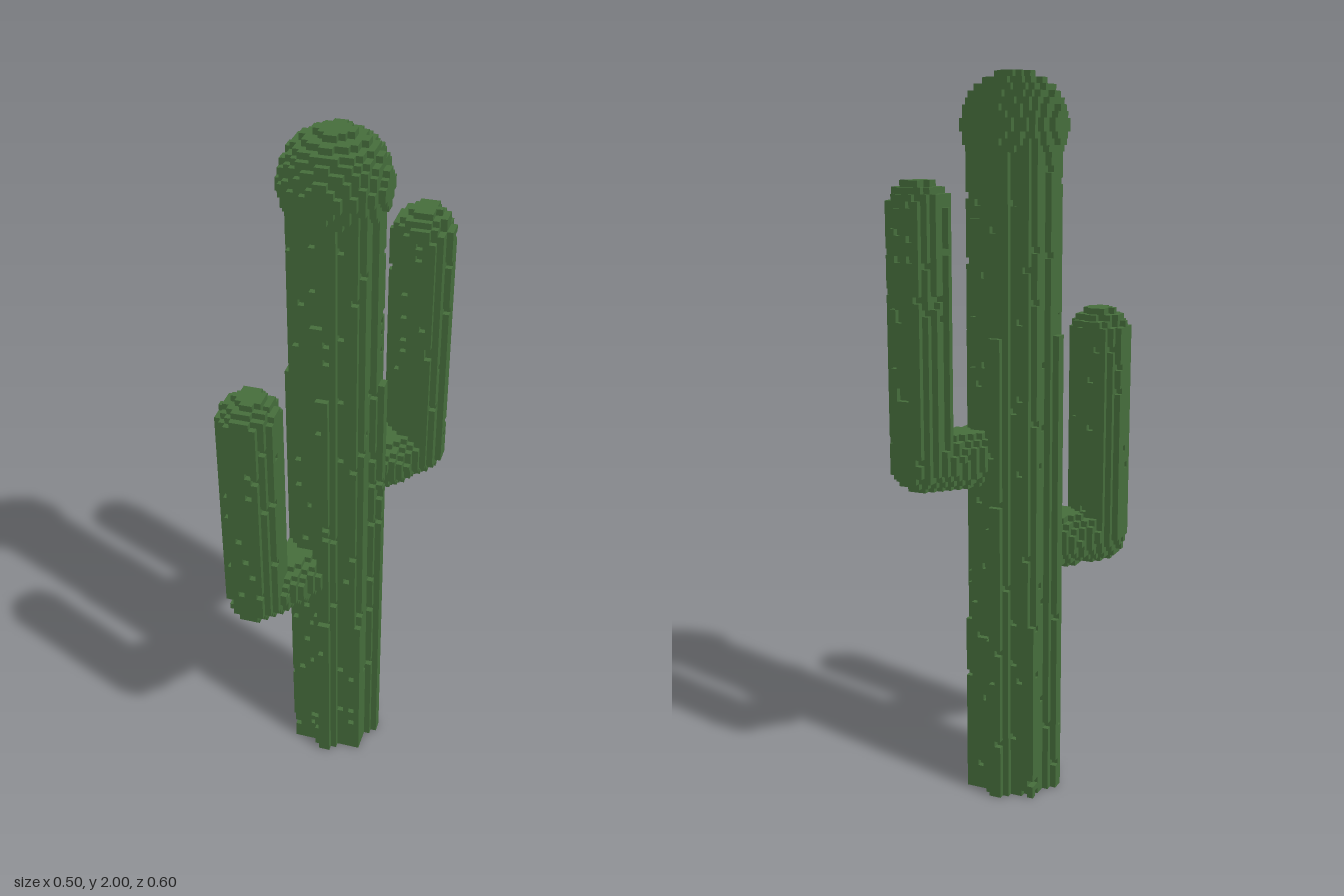
import * as THREE from 'three';

const S = 2 / 117; // size of one voxel

// Distance from a point to the segment a-b
const segment = new THREE.Line3();
const nearest = new THREE.Vector3();
function distToSegment(p, a, b) {
  segment.set(a, b).closestPointToPoint(p, true, nearest);
  return nearest.distanceTo(p);
}

// Small seeded hash giving 0..1 for each voxel
function hash(x, y, z) {
  let h = (x * 374761393 + y * 668265263 + z * 1274126177) | 0;
  h = Math.imul(h ^ (h >>> 13), 1274126177);
  h = Math.imul(h ^ (h >>> 15), 2246822519);
  return ((h ^ (h >>> 16)) >>> 0) / 4294967296;
}

// An arm runs out level from the trunk, then straight up
function arm(x, z, low, high, radius) {
  const root = new THREE.Vector3(-0.5, low, -0.5);
  const elbow = new THREE.Vector3(x, low, z);
  const tip = new THREE.Vector3(x, high, z);
  return (p) => Math.min(distToSegment(p, root, elbow), distToSegment(p, elbow, tip)) <= radius;
}

// Solid shapes, in voxel units
const headCentre = new THREE.Vector3(-0.5, 109, -0.5);
const parts = {
  // Eight-ribbed trunk, slightly tapered
  trunk: (p) => {
    if (p.y > 108) return false;
    const x = p.x + 0.5, z = p.z + 0.5;
    const r = 7.35 + 0.55 * Math.cos(8 * Math.atan2(z, x)) - 0.004 * p.y;
    return Math.hypot(x, z) <= r;
  },
  head: (p) => p.distanceTo(headCentre) <= 8,
  upperArm: arm(9.7, -13, 57.8, 96.5, 4.7),
  lowerArm: arm(-9.9, 13, 41.7, 75.4, 4.7),
};

// Face directions with their two in-plane axes, u cross v = n
const faces = [
  [[1, 0, 0], [0, 1, 0], [0, 0, 1]], [[-1, 0, 0], [0, 0, 1], [0, 1, 0]],
  [[0, 1, 0], [0, 0, 1], [1, 0, 0]], [[0, -1, 0], [1, 0, 0], [0, 0, 1]],
  [[0, 0, 1], [1, 0, 0], [0, 1, 0]], [[0, 0, -1], [0, 1, 0], [1, 0, 0]],
];
const corners = [[-1, -1], [1, -1], [1, 1], [-1, -1], [1, 1], [-1, 1]];

export function createModel() {
  const group = new THREE.Group();
  const green = new THREE.MeshStandardMaterial({ color: 0x466e3c });
  green.name = 'cactus green';

  // Fill the voxel grid, noting which part owns each voxel
  const key = (x, y, z) => ((y + 2) * 64 + z + 32) * 64 + x + 32;
  const solid = new Map();
  const p = new THREE.Vector3();
  for (let y = 0; y < 117; y++) {
    for (let z = -17; z <= 17; z++) {
      for (let x = -14; x <= 14; x++) {
        p.set(x, y + 0.5, z);
        for (const name in parts) {
          if (parts[name](p)) {
            solid.set(key(x, y, z), { name, x, y, z });
            break;
          }
        }
      }
    }
  }

  // Pit the skin with scattered one-voxel dents
  const pits = [];
  for (const [k, v] of solid) {
    const open = faces.some(([n]) => n[1] === 0 && !solid.has(key(v.x + n[0], v.y, v.z + n[2])));
    if (open && v.name !== 'head' && hash(v.x, v.y, v.z) < 0.04) pits.push(k);
  }
  pits.forEach((k) => solid.delete(k));

  // Emit only the exposed voxel faces of each part
  for (const name in parts) {
    const pos = [], nor = [];
    for (const v of solid.values()) {
      if (v.name !== name) continue;
      const c = [v.x, v.y + 0.5, v.z];
      for (const [n, u, w] of faces) {
        if (solid.has(key(v.x + n[0], v.y + n[1], v.z + n[2]))) continue;
        for (const [a, b] of corners) {
          for (let i = 0; i < 3; i++) pos.push((c[i] + (n[i] + a * u[i] + b * w[i]) / 2) * S);
          nor.push(...n);
        }
      }
    }
    const geometry = new THREE.BufferGeometry();
    geometry.setAttribute('position', new THREE.Float32BufferAttribute(pos, 3));
    geometry.setAttribute('normal', new THREE.Float32BufferAttribute(nor, 3));
    const mesh = new THREE.Mesh(geometry, green);
    mesh.name = name;
    group.add(mesh);
  }
  group.name = 'cactus';
  return group;
}
